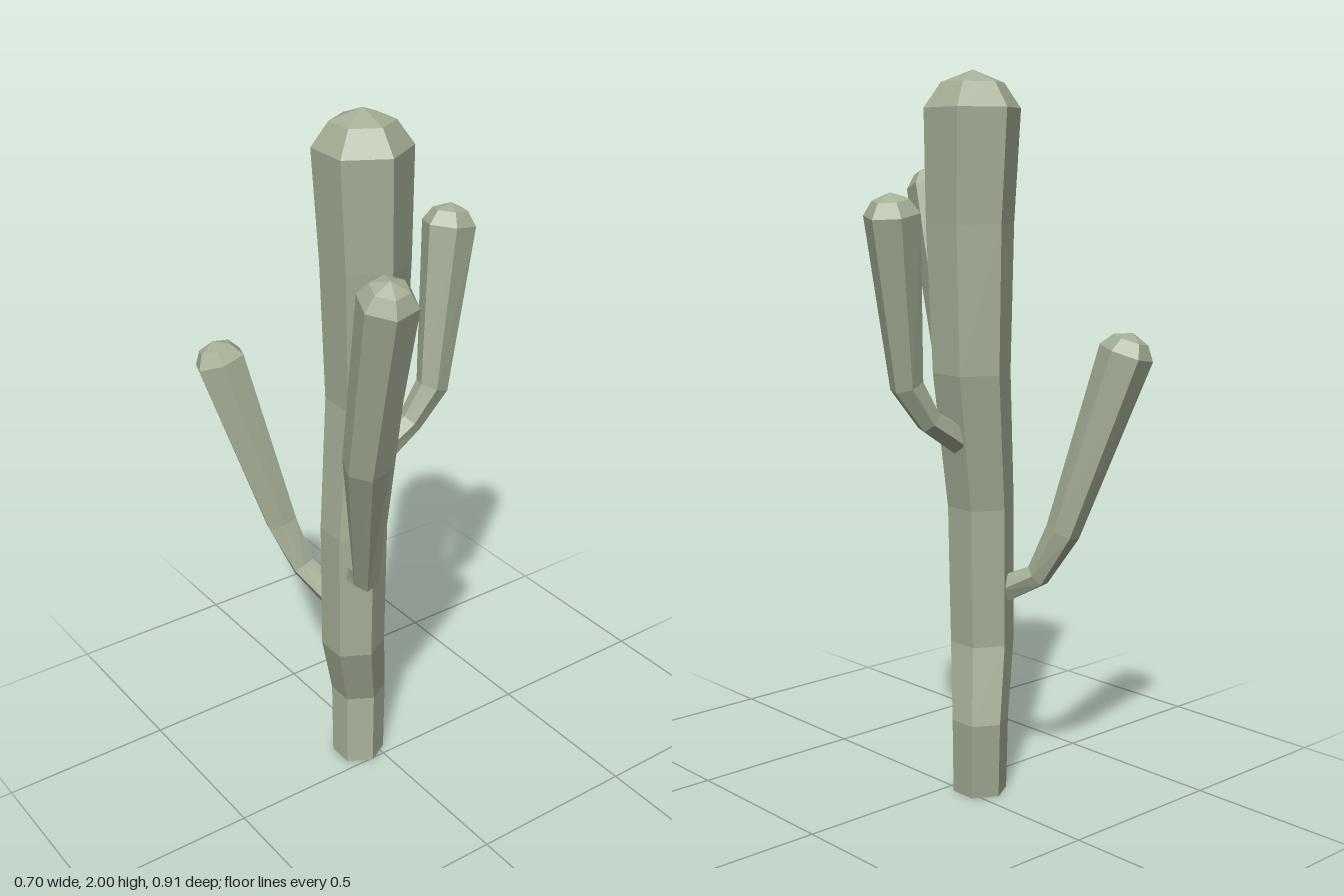
import * as THREE from 'three';

const SIDES = 6;

// Hexagonal limb through rings [x, y, z, radius], closed below and domed on top.
function limb(name, rings, phase, material, level = false) {
  const centres = rings.map(r => new THREE.Vector3(r[0], r[1], r[2]));
  const last = rings.length - 1;
  const sections = [];
  const addSection = (centre, tangent, radius) => {
    const u = new THREE.Vector3(1, 0, 0).addScaledVector(tangent, -tangent.x).normalize();
    const v = u.clone().cross(tangent);
    const loop = [];
    for (let i = 0; i < SIDES; i++) {
      const a = phase + (i / SIDES) * Math.PI * 2;
      loop.push(centre.clone()
        .addScaledVector(u, Math.cos(a) * radius)
        .addScaledVector(v, Math.sin(a) * radius));
    }
    sections.push(loop);
  };
  const tangentAt = i => {
    if (level) return new THREE.Vector3(0, 1, 0);
    const before = centres[i].clone().sub(centres[Math.max(i - 1, 0)]).normalize();
    const after = centres[Math.min(i + 1, last)].clone().sub(centres[i]).normalize();
    return before.add(after).normalize();
  };

  // flat base, body rings, then the dome
  addSection(centres[0], tangentAt(0), 0);
  rings.forEach((r, i) => addSection(centres[i], tangentAt(i), r[3]));
  const t = tangentAt(last), r = rings[last][3];
  addSection(centres[last].clone().addScaledVector(t, r * 0.5), t, r * 0.65);
  addSection(centres[last].clone().addScaledVector(t, r * 0.75), t, 0);

  const positions = [];
  const tri = (...points) => points.forEach(p => positions.push(p.x, p.y, p.z));
  for (let s = 0; s < sections.length - 1; s++) {
    for (let i = 0; i < SIDES; i++) {
      const j = (i + 1) % SIDES;
      const low = sections[s], high = sections[s + 1];
      if (s > 0) tri(low[i], high[i], low[j]);
      if (s < sections.length - 2) tri(low[j], high[i], high[j]);
    }
  }
  const geometry = new THREE.BufferGeometry();
  geometry.setAttribute('position', new THREE.Float32BufferAttribute(positions, 3));
  geometry.computeVertexNormals();
  const mesh = new THREE.Mesh(geometry, material);
  mesh.name = name;
  return mesh;
}

export function createModel() {
  const cactus = new THREE.Group();
  cactus.name = 'cactus';
  const green = new THREE.MeshStandardMaterial({ color: 0xa5ae96, flatShading: true });

  // Crooked trunk, thicker toward the top
  cactus.add(limb('trunk', [
    [-0.045, 0, -0.07, 0.077],
    [-0.03, 0.22, -0.087, 0.08],
    [-0.078, 0.43, -0.043, 0.091],
    [-0.071, 0.82, -0.043, 0.094],
    [-0.015, 1.2, -0.065, 0.108],
    [-0.018, 1.6, -0.054, 0.121],
    [-0.02, 1.902, -0.06, 0.132],
  ], Math.PI / 2, green, true));

  // Three arms bending upward from the trunk
  cactus.add(limb('leftArm', [
    [0.03, 1.02, -0.06, 0.042],
    [0.135, 1.08, -0.06, 0.036],
    [0.2, 1.18, -0.045, 0.046],
    [0.275, 1.63, -0.078, 0.075],
  ], -0.15, green));
  cactus.add(limb('backArm', [
    [-0.115, 0.585, -0.1, 0.042],
    [-0.145, 0.635, -0.195, 0.036],
    [-0.175, 0.765, -0.26, 0.048],
    [-0.278, 1.26, -0.387, 0.075],
  ], -0.13, green));
  cactus.add(limb('frontArm', [
    [-0.1, 0.7, 0.01, 0.038],
    [-0.125, 0.735, 0.09, 0.04],
    [-0.235, 1.2, 0.25, 0.063],
    [-0.266, 1.695, 0.383, 0.077],
  ], -0.19, green));

  return cactus;
}
